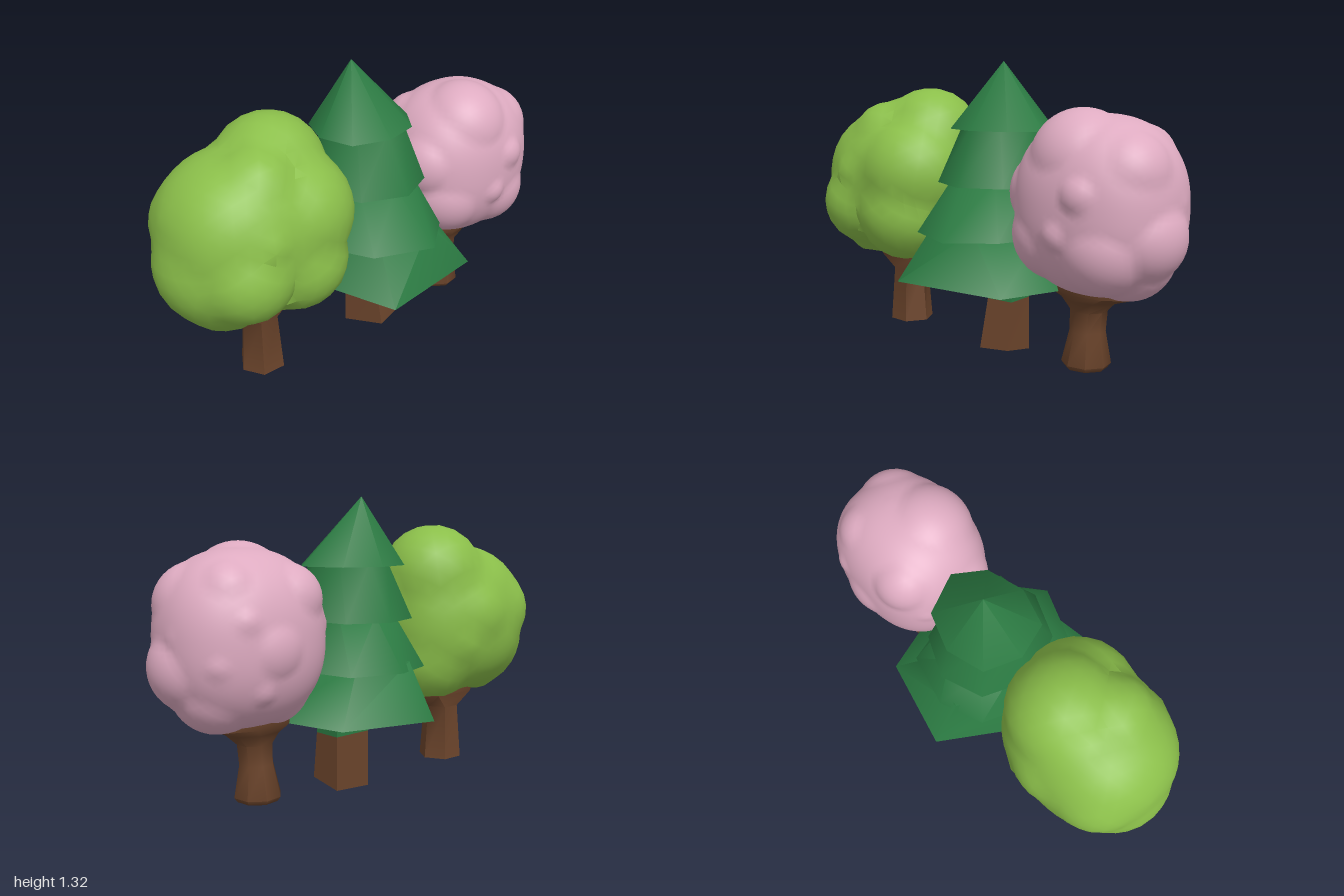
import * as THREE from 'three';
import { mergeVertices, toCreasedNormals } from 'three/addons/utils/BufferGeometryUtils.js';

const flat = (name, color) => {
  const m = new THREE.MeshStandardMaterial({ color });
  m.name = name;
  return m;
};

// Lofts rings listed from bottom to top: { x, y, z, rx, rz } or { y, corners: [[x, z], ...] }
function loft(rings, sides, turn = 0, crease = 0.7) {
  const pos = [], idx = [];
  rings.forEach(({ x, y, z, rx, rz = rx, corners }) => {
    for (let i = 0; i < sides; i++) {
      const a = turn + (i / sides) * Math.PI * 2;
      const [px, pz] = corners ? corners[i] : [x + Math.cos(a) * rx, z + Math.sin(a) * rz];
      pos.push(px, y, pz);
    }
  });
  for (let j = 0; j < rings.length - 1; j++) {
    for (let i = 0; i < sides; i++) {
      const n = (i + 1) % sides;
      const a = j * sides + i, b = j * sides + n;
      idx.push(a, a + sides, b, b, a + sides, b + sides);
    }
  }
  const g = new THREE.BufferGeometry();
  g.setAttribute('position', new THREE.Float32BufferAttribute(pos, 3));
  g.setIndex(idx);
  return toCreasedNormals(g, crease);
}

// Leafy crown: a boxy ellipsoid swollen by round lumps and cut flat underneath
function crown({ centre, radii, lumps, bumps, bumpSize, detail, floor, crease }) {
  const all = lumps.map(([x, y, z, r]) => ({ c: new THREE.Vector3(x, y, z), r }));
  for (let i = 0; i < bumps; i++) {
    const y = 1 - (2 * (i + 0.5)) / bumps, s = Math.sqrt(1 - y * y), a = i * 2.4;
    const c = new THREE.Vector3(Math.cos(a) * s * radii[0], y * radii[1], Math.sin(a) * s * radii[2]);
    all.push({ c: c.multiplyScalar(0.77), r: bumpSize * (1 + 0.12 * Math.sin(i * 5.3)) });
  }
  let g = new THREE.IcosahedronGeometry(1, detail);
  g.deleteAttribute('normal');
  g.deleteAttribute('uv');
  g = mergeVertices(g, 1e-4);
  const p = g.attributes.position, d = new THREE.Vector3();
  for (let i = 0; i < p.count; i++) {
    d.fromBufferAttribute(p, i).normalize();
    const e = 2.3;
    let t = Math.pow(d.toArray().reduce((s, v, k) => s + Math.pow(Math.abs(v) / radii[k], e), 0), -1 / e);
    all.forEach(({ c, r }) => {
      const b = d.dot(c), q = b * b - c.lengthSq() + r * r;
      if (q > 0) t = Math.max(t, b + Math.sqrt(q));
    });
    p.setXYZ(i, centre[0] + d.x * t, Math.max(floor, centre[1] + d.y * t), centre[2] + d.z * t);
  }
  if (crease) return toCreasedNormals(g, crease);
  g.computeVertexNormals();
  return g;
}

export function createModel() {
  const model = new THREE.Group();
  model.name = 'treeGroup';
  const bark = flat('bark brown', 0x6b442b);
  const lime = flat('leaf green', 0x8bbf4a);
  const pine = flat('pine green', 0x2b7a42);
  const pink = flat('blossom pink', 0xdeabc1);
  const add = (name, geometry, material, parent) => {
    const m = new THREE.Mesh(geometry, material);
    m.name = name;
    parent.add(m);
  };
  const tree = (name) => {
    const g = new THREE.Group();
    g.name = name;
    model.add(g);
    return g;
  };

  // Broadleaf tree on the right
  const broadleaf = tree('broadleafTree');
  add('broadleafTrunk', loft([
    { x: -0.55, y: 0.04, z: 0, rx: 0 },
    { x: -0.55, y: 0.04, z: 0, rx: 0.105 },
    { x: -0.55, y: 0.3, z: 0, rx: 0.085 },
    { x: -0.56, y: 0.365, z: 0, rx: 0.22, rz: 0.1 },
    { x: -0.56, y: 0.41, z: 0, rx: 0.22, rz: 0.1 },
  ], 6, 0, 1), bark, broadleaf);
  add('broadleafCrown', crown({
    centre: [-0.58, 0.74, 0], radii: [0.39, 0.36, 0.33], detail: 7, floor: 0.378, crease: 0.6,
    lumps: [
      [0.14, 0.21, -0.04, 0.245], [-0.01, 0.21, 0.09, 0.18], [-0.15, -0.1, 0, 0.27],
      [0.16, 0.06, 0.08, 0.265], [-0.15, 0.04, -0.1, 0.22], [0.14, -0.13, 0.12, 0.23],
      [-0.12, -0.1, 0.15, 0.21], [0.03, 0.03, -0.12, 0.23], [0.16, -0.17, -0.04, 0.22],
      [-0.14, -0.18, 0.02, 0.22],
    ], bumps: 16, bumpSize: 0.1,
  }), lime, broadleaf);

  // Blossom tree on the left
  const blossom = tree('blossomTree');
  add('blossomTrunk', loft([
    { x: 0.545, y: 0.04, z: 0, rx: 0 },
    { x: 0.545, y: 0.04, z: 0, rx: 0.09 },
    { x: 0.545, y: 0.06, z: 0, rx: 0.105 },
    { x: 0.55, y: 0.2, z: 0, rx: 0.076 },
    { x: 0.555, y: 0.29, z: 0, rx: 0.08, rz: 0.076 },
    { x: 0.56, y: 0.34, z: 0, rx: 0.13, rz: 0.1 },
    { x: 0.57, y: 0.37, z: 0, rx: 0.21, rz: 0.12 },
    { x: 0.57, y: 0.41, z: 0, rx: 0.21, rz: 0.12 },
  ], 8, 0.2, 1), bark, blossom);
  add('blossomCrown', crown({
    centre: [0.61, 0.74, 0.01], radii: [0.355, 0.37, 0.305], detail: 15, floor: 0.37,
    lumps: [
      [-0.04, 0.18, 0.07, 0.215], [0.12, 0.19, -0.11, 0.14], [-0.14, 0.16, -0.13, 0.15],
      [0.2, -0.1, 0.02, 0.19], [-0.2, 0.04, 0.05, 0.185], [0.16, 0.14, 0.06, 0.18],
      [0.1, -0.14, 0.1, 0.2], [-0.14, -0.12, 0.08, 0.2], [0, -0.02, -0.12, 0.205],
      [0.12, -0.18, -0.02, 0.2], [-0.11, -0.19, -0.02, 0.19],
    ], bumps: 30, bumpSize: 0.092,
  }), pink, blossom);

  // Pine in the middle: four ragged tiers, each with its own uneven hem
  const conifer = tree('pineTree');
  const tiers = [
    { y: 0.37, top: 0.61, tx: 0.06, tz: 0, rx: 0.27, rz: 0.33, turn: 0.1,
      hem: [[0.48, 0.05], [0.38, 0.36], [-0.15, 0.44], [-0.32, -0.05], [-0.06, -0.45], [0.36, -0.35]] },
    { y: 0.57, top: 0.81, tx: 0.055, tz: 0, rx: 0.2, rz: 0.22, turn: 0.1,
      hem: [[0.35, 0.06], [0.28, 0.26], [0.1, 0.41], [-0.16, 0.31], [-0.3, 0.05], [-0.18, -0.26],
        [0.02, -0.34], [0.26, -0.28]] },
    { y: 0.785, top: 1.04, tx: 0.055, tz: -0.01, rx: 0.175, rz: 0.175, turn: 0.1,
      hem: [[0.3, 0.04], [0.24, 0.19], [0.06, 0.28], [-0.14, 0.2], [-0.23, 0], [-0.14, -0.22],
        [0.05, -0.29], [0.23, -0.21]] },
    { y: 1.02, top: 1.32, tx: 0.02, tz: -0.06, rx: 0, rz: 0, turn: 0.1,
      hem: [[0.3, 0], [0.21, 0.13], [0.04, 0.18], [-0.13, 0.13], [-0.18, -0.03], [-0.12, -0.19],
        [0.05, -0.24], [0.22, -0.18]] },
  ];
  tiers.forEach(({ y, top, tx, tz, rx, rz, turn, hem }, i) => {
    add('pineTier' + (i + 1), loft([
      { x: 0.06, y: y + 0.02, z: 0, rx: 0 },
      { y, corners: hem },
      { x: tx, y: top, z: tz, rx, rz },
      { x: tx, y: top, z: tz, rx: 0 },
    ], hem.length, turn, 1.1), pine, conifer);
  });

  // Pine trunk: four uneven corners, tapering upwards from a slanted foot
  const corner = (y) => [[0.18, 0.09 - 0.1 * y], [0.05, 0.13 - 0.2 * y], [-0.02, -0.06], [0.17, -0.07]];
  const foot = loft([
    { x: 0.08, y: 0, z: 0.03, rx: 0 },
    { y: 0, corners: corner(0) },
    { y: 0.26, corners: corner(0.26) },
  ], 4, 0, 1.2);
  const p = foot.attributes.position;
  for (let i = 0; i < p.count; i++) {
    if (p.getY(i) < 0.01) p.setY(i, Math.max(0, 0.08 * (p.getX(i) + 0.02) + 0.18 * (p.getZ(i) + 0.06)));
  }
  add('pineTrunk', foot, bark, conifer);
  add('pineTrunkTop', loft([
    { y: 0.26, corners: corner(0.26) },
    { y: 0.4, corners: corner(0.4) },
  ], 4, 0, 1.2), pine, conifer);

  return model;
}
